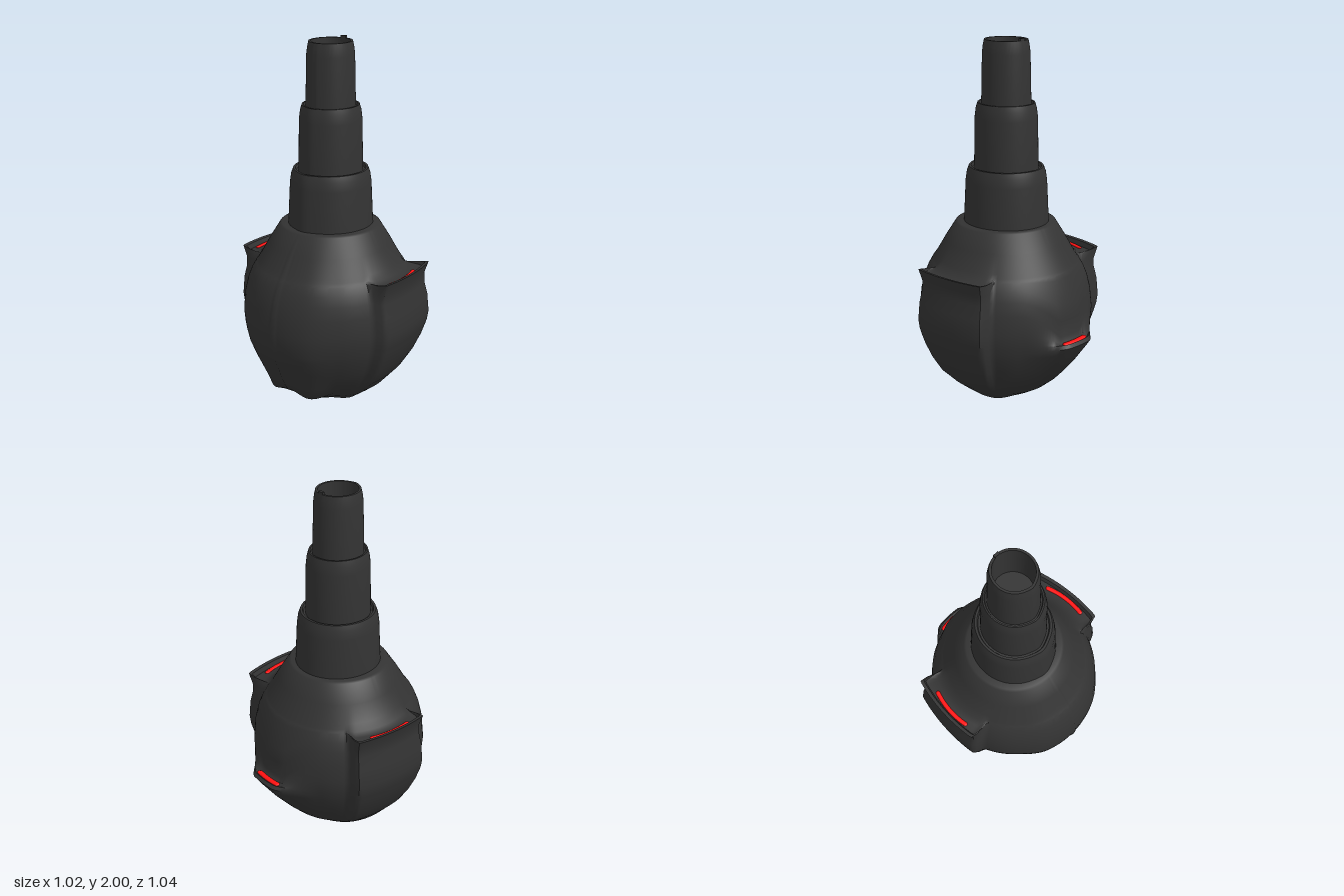
import * as THREE from 'three';
import { toCreasedNormals } from 'three/addons/utils/BufferGeometryUtils.js';

const CENTRE_Z = 0.03; // axis of the round body
const DARK = new THREE.MeshStandardMaterial({ color: 0x333333, side: THREE.DoubleSide });
const RED = new THREE.MeshStandardMaterial({ color: 0xff1111 });

// Loft: profile(angle) gives [radius, y] rows from bottom to top; angle 0 faces +z.
function loft(profile, columns, crease) {
  const pos = [], index = [];
  let rows = 0;
  for (let i = 0; i < columns; i++) {
    const a = (i / columns) * Math.PI * 2;
    const points = profile(a > Math.PI ? a - Math.PI * 2 : a);
    rows = points.length;
    for (const [r, y] of points) pos.push(r * Math.sin(a), y, r * Math.cos(a));
  }
  for (let i = 0; i < columns; i++) {
    const p = i * rows, q = ((i + 1) % columns) * rows;
    for (let j = 0; j < rows - 1; j++) {
      index.push(p + j, q + j, q + j + 1, p + j, q + j + 1, p + j + 1);
    }
  }
  const geo = new THREE.BufferGeometry();
  geo.setAttribute('position', new THREE.Float32BufferAttribute(pos, 3));
  geo.setIndex(index);
  return toCreasedNormals(geo, crease);
}

// Matching profiles: plain body, side scoop, rear scoop and front chin
const BODY = [
  [0, 0.025], [0.06, 0.027], [0.1, 0.032], [0.18, 0.055], [0.25, 0.097], [0.31, 0.147],
  [0.36, 0.207], [0.415, 0.3], [0.45, 0.39], [0.458, 0.42], [0.465, 0.45], [0.47, 0.48],
  [0.474, 0.53], [0.464, 0.63], [0.447, 0.7], [0.427, 0.75], [0.404, 0.79], [0.401, 0.794],
  [0.398, 0.798], [0.394, 0.803], [0.39, 0.81], [0.377, 0.83], [0.327, 0.92],
  [0.27, 1.013], [0.258, 1.02], [0.2, 1.02],
];
const variant = (changes) => BODY.map((p, i) => changes[i] ?? p);
const SIDE = variant({
  1: [0.06, 0.018], 2: [0.1, 0], 3: [0.19, 0.04], 4: [0.27, 0.1], 5: [0.32, 0.14],
  6: [0.38, 0.21], 7: [0.435, 0.3], 8: [0.475, 0.39], 9: [0.485, 0.42], 10: [0.495, 0.45],
  11: [0.504, 0.48], 12: [0.511, 0.53], 13: [0.502, 0.63], 14: [0.485, 0.7],
  15: [0.484, 0.75], 16: [0.505, 0.815], 17: [0.487, 0.812], 18: [0.478, 0.785],
  19: [0.44, 0.785], 20: [0.41, 0.8],
});
const BACK = variant({
  6: [0.37, 0.21], 7: [0.447, 0.3], 8: [0.52, 0.4], 9: [0.55, 0.445], 10: [0.535, 0.462],
  11: [0.525, 0.45], 12: [0.495, 0.455], 13: [0.48, 0.485], 14: [0.475, 0.57],
  15: [0.465, 0.65], 16: [0.41, 0.775],
});
const FRONT = variant({
  3: [0.185, 0.052], 4: [0.27, 0.095], 5: [0.36, 0.128], 6: [0.388, 0.2], 7: [0.432, 0.3],
  8: [0.47, 0.39], 9: [0.476, 0.42], 10: [0.481, 0.45], 11: [0.484, 0.48], 12: [0.486, 0.53],
  13: [0.474, 0.63], 14: [0.456, 0.7], 15: [0.436, 0.75], 16: [0.415, 0.79],
  17: [0.412, 0.794], 18: [0.409, 0.798], 19: [0.405, 0.803], 20: [0.4, 0.81], 21: [0.386, 0.83],
  22: [0.332, 0.92],
});

// 1 inside the inner angle, 0 beyond the outer angle
const falloff = (deg, inner, outer) => 1 - THREE.MathUtils.smoothstep(deg, inner, outer);

function bodyProfile(angle) {
  const deg = Math.abs(THREE.MathUtils.radToDeg(angle));
  const back = Math.pow(1 - THREE.MathUtils.clamp((171 - deg) / 27, 0, 1), 1.6);
  const front = falloff(deg, 20, 45);
  const seam = deg < 1 ? 0.006 : 0;
  const dip = 0.03 * falloff(deg, 2, 20);
  // side scoops are flatter than the round body, so their corners stand out
  const flat = 1 / Math.cos(THREE.MathUtils.degToRad(Math.min(Math.abs(deg - 92), 30) * 0.7));
  return BODY.map(([r, y], j) => {
    let R = r, Y = y;
    // side scoops spread out towards the bottom
    const spread = Math.max(0, 6 - j);
    const side = falloff(Math.abs(deg - 96), 23.5 - spread * 2, 30 + spread * 10);
    const square = j > 5 && j < 19 ? flat : 1;
    for (const [shape, w, k] of [[SIDE, side, square], [BACK, back, 1], [FRONT, front, 1]]) {
      R += w * (shape[j][0] * k - r);
      Y += w * (shape[j][1] - y);
    }
    if (j === 5) Y += dip; // chin edge arches up in the middle
    return [R + (j > 4 && j < 23 ? seam : 0), Y];
  });
}

// Telescoping neck with an open, hollow tip
const NECK = [
  [0.224, 1.01], [0.213, 1.24], [0.206, 1.29], [0.195, 1.32], [0.183, 1.32], [0.178, 1.305],
  [0.168, 1.305], [0.163, 1.58], [0.157, 1.63], [0.148, 1.66], [0.14, 1.66], [0.136, 1.645],
  [0.129, 1.645], [0.123, 1.92], [0.118, 1.96], [0.112, 1.988], [0.1, 1.988], [0.098, 1.75],
  [0, 1.75],
];
function neckProfile(angle) {
  const c = Math.cos(angle);
  // slightly deeper than wide, with a narrow point at the front seam
  const peak = 1 + 0.045 * c * c + (c > 0 ? 0.04 * Math.pow(c, 40) : 0);
  return NECK.map(([r, y]) => [r * peak, y]);
}

// Thin glowing slot bent around the body axis
function slotGeometry(length, radius, width) {
  const geo = new THREE.CapsuleGeometry(width, length - 2 * width, 6, 12, 12);
  const p = geo.attributes.position;
  for (let i = 0; i < p.count; i++) {
    const a = p.getY(i) / radius, r = radius + p.getX(i);
    p.setXYZ(i, r * Math.sin(a), p.getZ(i) * 0.5, r * Math.cos(a));
  }
  geo.computeVertexNormals();
  return geo;
}

export function createModel() {
  const model = new THREE.Group();
  const add = (name, geo, mat, x = 0, y = 0, z = CENTRE_Z) => {
    const mesh = new THREE.Mesh(geo, mat);
    mesh.name = name;
    mesh.position.set(x, y, z);
    model.add(mesh);
    return mesh;
  };

  add('body', loft(bodyProfile, 180, 0.95), DARK);
  add('neck', loft(neckProfile, 96, 0.6), DARK, 0, 0, 0.025);
  add('tipNub', new THREE.BoxGeometry(0.03, 0.03, 0.015), DARK, 0, 1.985, -0.085);

  // Red slots set into the scoops
  for (const side of [1, -1]) {
    const slot = add(side > 0 ? 'leftSlot' : 'rightSlot', slotGeometry(0.26, 0.465, 0.012), RED, 0, 0.787);
    slot.rotation.y = side * THREE.MathUtils.degToRad(95);
  }
  add('rearSlot', slotGeometry(0.175, 0.511, 0.015), RED, 0, 0.456).rotation.y = Math.PI;
  return model;
}
